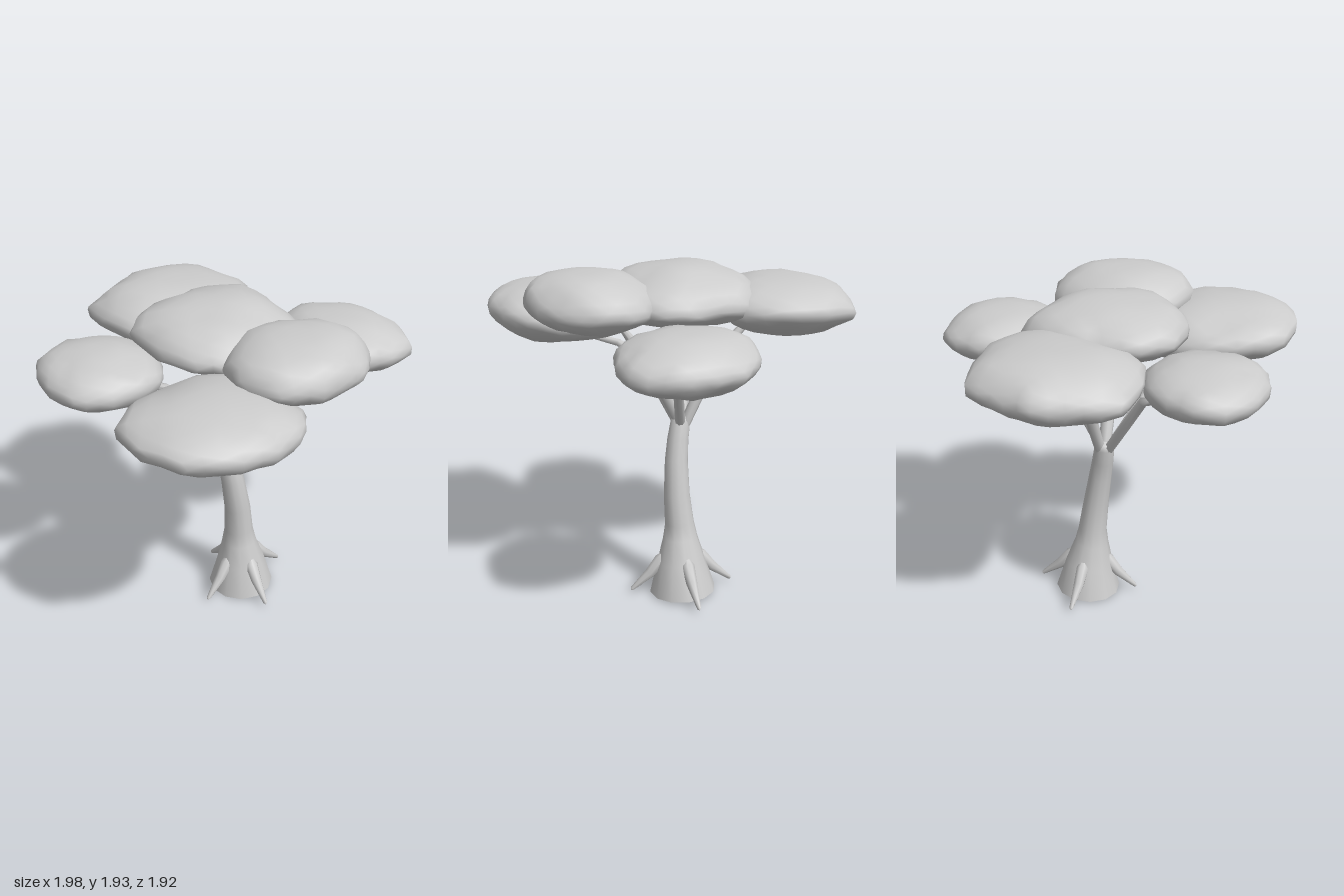
import * as THREE from 'three';
import { mergeVertices } from 'three/addons/utils/BufferGeometryUtils.js';

const grey = new THREE.MeshStandardMaterial({ color: 0xcccccc, side: THREE.DoubleSide });
grey.name = 'plain grey';

// Tapered limb: each row is [x, y, z, radius]
function limb(name, rows, sides) {
  const pts = rows.map(r => new THREE.Vector3(r[0], r[1], r[2]));
  const ref = new THREE.Vector3(0.31, 0.12, 0.94);
  const pos = [], index = [];
  pts.forEach((p, i) => {
    const t = pts[Math.min(i + 1, pts.length - 1)].clone().sub(pts[Math.max(i - 1, 0)]).normalize();
    const u = new THREE.Vector3().crossVectors(t, ref).normalize();
    const v = new THREE.Vector3().crossVectors(t, u);
    for (let j = 0; j < sides; j++) {
      const a = (j / sides) * Math.PI * 2;
      const q = p.clone().addScaledVector(u, Math.cos(a) * rows[i][3]).addScaledVector(v, Math.sin(a) * rows[i][3]);
      pos.push(q.x, q.y, q.z);
      if (i < pts.length - 1) {
        const b = i * sides, k = (j + 1) % sides;
        index.push(b + j, b + k, b + sides + j, b + k, b + sides + k, b + sides + j);
      }
    }
  });
  const g = new THREE.BufferGeometry();
  g.setAttribute('position', new THREE.Float32BufferAttribute(pos, 3));
  g.setIndex(index);
  g.computeVertexNormals();
  const mesh = new THREE.Mesh(g, grey);
  mesh.name = name;
  return mesh;
}

// Lens-shaped leaf cloud: plan radii every 30 degrees from +x towards +z,
// tilt lifts the rim along x and z, a smaller dome value gives a flatter top
function leafCloud({ name, x, z, low, rim, high, tilt, dome, radii }, seed) {
  let g = new THREE.IcosahedronGeometry(1, 4);
  g.deleteAttribute('uv');
  g.deleteAttribute('normal');
  g = mergeVertices(g, 1e-4);
  const p = g.attributes.position;
  const n = radii.length, step = (2 * Math.PI) / n;
  for (let i = 0; i < p.count; i++) {
    const px = p.getX(i), py = p.getY(i), pz = p.getZ(i);
    const a = ((Math.atan2(pz, px) / (2 * Math.PI) + 1) % 1) * n;
    const k = Math.floor(a) % n, f = a - Math.floor(a);
    // straight edge between neighbouring corners
    const ra = radii[k], rb = radii[(k + 1) % n];
    const plan = (ra * rb * Math.sin(step)) / (ra * Math.sin(f * step) + rb * Math.sin((1 - f) * step));
    const h = Math.hypot(px, pz);
    const lump = Math.sin(px * 5 + seed) * Math.sin(pz * 5.5 + seed * 2) + 0.6 * Math.sin(py * 6 + px * 4 - pz * 3 + seed);
    const ragged = Math.sin(px * 9 + seed * 5) * Math.sin(pz * 10 + seed) * h;
    const r = plan * Math.pow(h, py > 0 ? dome : 1.45) * (1 + 0.03 * lump * (1 - h * h * 0.6) + 0.012 * ragged);
    const side = py > 0 ? high - rim : rim - low;
    const y = rim + py * side * (1.03 + 0.06 * lump * h) + (tilt[0] * px + tilt[1] * pz + 0.01 * ragged) * h;
    const c = h > 1e-6 ? r / h : 0;
    p.setXYZ(i, x + px * c, Math.min(high, Math.max(low, y)), z + pz * c);
  }
  g.computeVertexNormals();
  const mesh = new THREE.Mesh(g, grey);
  mesh.name = name;
  return mesh;
}

export function createModel() {
  const tree = new THREE.Group();
  tree.name = 'flatToppedTree';

  // Leaning trunk, open at the base
  tree.add(limb('trunk', [
    [0.113, 0.01, 0.05, 0.194], [0.105, 0.2, 0.055, 0.142], [0.09, 0.34, 0.055, 0.102], [0.084, 0.43, 0.057, 0.085],
    [0.065, 0.6, 0.065, 0.076], [0.035, 0.8, 0.055, 0.067], [0.015, 0.92, 0.037, 0.062], [0, 1.02, 0.015, 0.057],
    [-0.003, 1.055, 0.008, 0.045], [-0.003, 1.06, 0.008, 0],
  ], 12));

  // Four buttress roots: [top x, top z, tip x, tip z]
  const roots = new THREE.Group();
  roots.name = 'roots';
  [[0.01, 0.06, -0.19, 0.08], [0.2, 0.06, 0.42, 0.07], [0.09, 0.15, 0.045, 0.35], [0.11, -0.04, 0.14, -0.255]]
    .forEach(([ax, az, bx, bz]) => {
      const at = (f, y, r) => [ax + (bx - ax) * f, y, az + (bz - az) * f, r];
      roots.add(limb('root', [
        at(0.0, 0.26, 0.012), at(0.12, 0.21, 0.038), at(0.42, 0.13, 0.032),
        at(0.96, 0.032, 0.012), at(1, 0.024, 0),
      ], 8));
    });
  tree.add(roots);

  // Branches up to the leaf clouds
  const branches = new THREE.Group();
  branches.name = 'branches';
  [
    [[0, 1.0, 0.01, 0.035], [0, 1.25, 0.13, 0.04], [0, 1.42, 0.23, 0.039], [0, 1.66, 0.4, 0.01]],
    [[0.02, 1.0, 0, 0.03], [0.045, 1.25, -0.11, 0.034], [0.055, 1.44, -0.22, 0.03], [0.07, 1.62, -0.4, 0.018]],
    [[-0.02, 1.0, 0.01, 0.03], [-0.14, 1.21, -0.08, 0.03], [-0.26, 1.42, -0.17, 0.028], [-0.32, 1.45, -0.21, 0.022], [-0.55, 1.48, -0.28, 0.014]],
    [[-0.02, 1.0, 0.02, 0.03], [-0.14, 1.2, 0.1, 0.03], [-0.25, 1.38, 0.2, 0.028], [-0.32, 1.43, 0.27, 0.022], [-0.52, 1.475, 0.48, 0.014]],
    [[0.01, 1.0, 0.02, 0.03], [0.16, 1.21, 0.09, 0.03], [0.31, 1.385, 0.15, 0.026], [0.42, 1.415, 0.18, 0.022], [0.65, 1.47, 0.25, 0.016]],
  ].forEach(rows => branches.add(limb('branch', rows, 8)));
  tree.add(branches);

  // Canopy of overlapping leaf clouds
  const canopy = new THREE.Group();
  canopy.name = 'canopy';
  [
    { name: 'middleLeaves', x: 0, z: 0.02, low: 1.6, rim: 1.74, high: 1.93, tilt: [-0.02, -0.015], dome: 1.1,
      radii: [0.4, 0.41, 0.43, 0.39, 0.45, 0.46, 0.46, 0.51, 0.46, 0.4, 0.44, 0.47] },
    { name: 'frontLeaves', x: 0.02, z: 0.56, low: 1.6, rim: 1.75, high: 1.92, tilt: [-0.01, 0.01], dome: 0.85,
      radii: [0.41, 0.37, 0.34, 0.32, 0.35, 0.39, 0.41, 0.4, 0.39, 0.37, 0.39, 0.42] },
    { name: 'backLeaves', x: 0.1, z: -0.58, low: 1.51, rim: 1.685, high: 1.84, tilt: [0.01, 0.015], dome: 0.95,
      radii: [0.43, 0.49, 0.53, 0.44, 0.44, 0.48, 0.45, 0.46, 0.37, 0.38, 0.37, 0.46] },
    { name: 'leftFrontLeaves', x: -0.52, z: 0.55, low: 1.44, rim: 1.62, high: 1.775, tilt: [-0.03, 0.02], dome: 1.05,
      radii: [0.42, 0.43, 0.43, 0.41, 0.43, 0.46, 0.48, 0.49, 0.44, 0.42, 0.45, 0.45] },
    { name: 'leftBackLeaves', x: -0.6, z: -0.27, low: 1.44, rim: 1.6, high: 1.73, tilt: [0, 0], dome: 1,
      radii: [0.33, 0.32, 0.35, 0.33, 0.34, 0.35, 0.33, 0.34, 0.37, 0.36, 0.34, 0.33] },
    { name: 'rightLeaves', x: 0.68, z: 0.25, low: 1.415, rim: 1.575, high: 1.72, tilt: [-0.02, -0.01], dome: 0.95,
      radii: [0.32, 0.35, 0.41, 0.38, 0.38, 0.37, 0.38, 0.36, 0.38, 0.37, 0.36, 0.34] },
  ].forEach((cloud, i) => canopy.add(leafCloud(cloud, i * 1.7 + 0.5)));
  tree.add(canopy);

  return tree;
}
